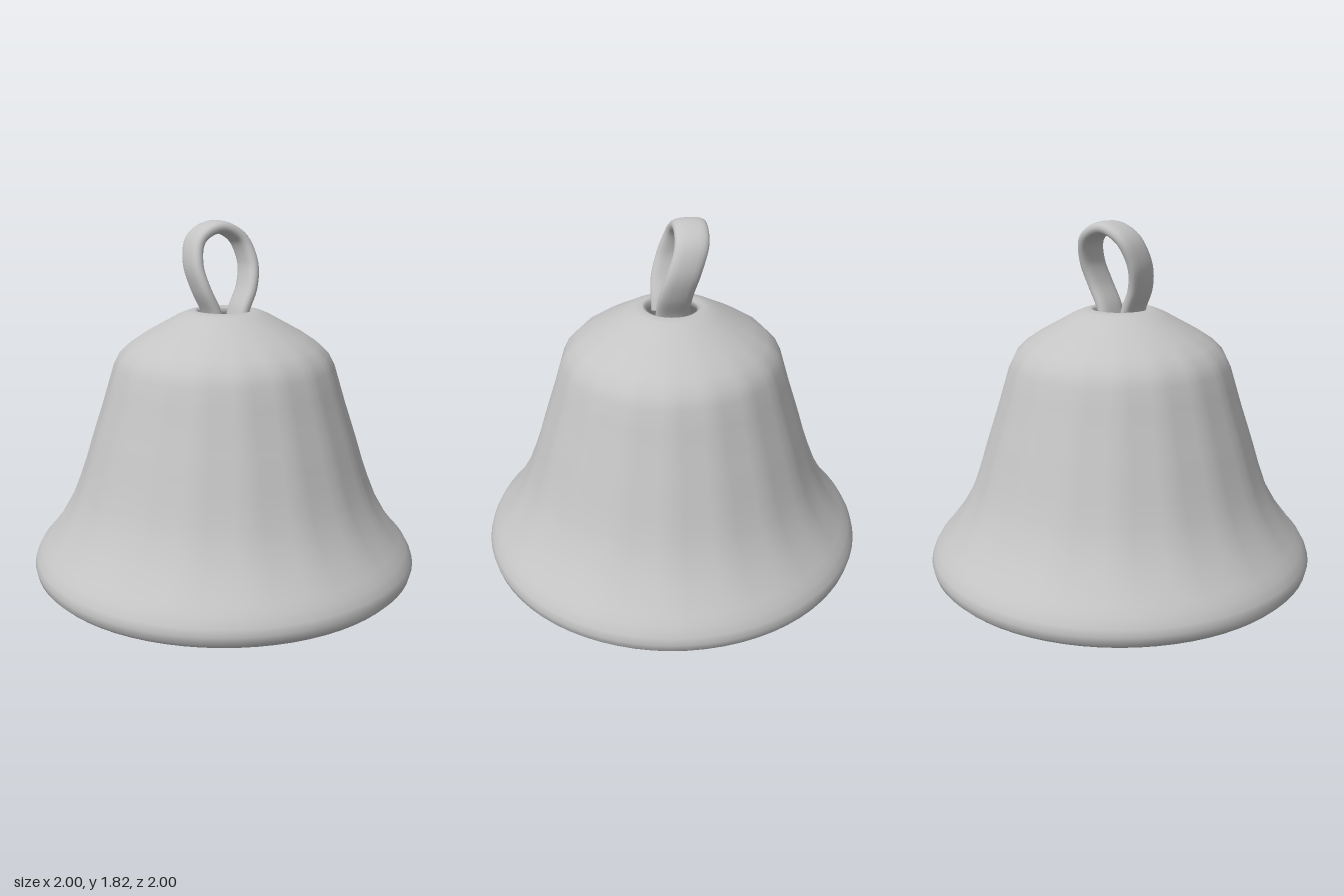
import * as THREE from 'three';
import { mergeVertices } from 'three/addons/utils/BufferGeometryUtils.js';

const metal = new THREE.MeshStandardMaterial({ color: 0xc4c4c4 });
metal.name = 'grey metal';

// Smooth normals across seams
function smooth(geometry) {
  geometry.deleteAttribute('uv');
  geometry.deleteAttribute('normal');
  const merged = mergeVertices(geometry, 1e-4);
  merged.computeVertexNormals();
  return merged;
}

// Hollow bell with a rolled lip, a hole in the crown and softly hammered facets
function bellGeometry() {
  const outer = [
    [0.88, 0.04], [0.895, 0.015], [0.93, 0.005], [0.965, 0.015], [0.99, 0.04], [1, 0.08],
    [0.99, 0.115], [0.965, 0.16], [0.93, 0.2], [0.86, 0.29], [0.795, 0.4], [0.755, 0.5],
    [0.72, 0.6], [0.69, 0.7], [0.658, 0.8], [0.625, 0.9], [0.595, 1], [0.565, 1.1],
    [0.535, 1.16], [0.485, 1.21], [0.41, 1.26], [0.32, 1.31], [0.24, 1.355], [0.19, 1.376], [0.15, 1.385],
  ];
  const inner = [
    [0.13, 1.375], [0.13, 1.34], [0.21, 1.31], [0.36, 1.22], [0.46, 1.15], [0.52, 1.05], [0.555, 0.9],
    [0.62, 0.7], [0.685, 0.5], [0.735, 0.38], [0.81, 0.24], [0.87, 0.14], [0.885, 0.08], [0.88, 0.04],
  ];
  const points = [...outer, ...inner].map(([r, y]) => new THREE.Vector2(r, y));
  const geometry = new THREE.LatheGeometry(points, 72);
  const pos = geometry.attributes.position;
  const step = Math.PI * 2 / 18;
  for (let i = 0; i < pos.count; i++) {
    const x = pos.getX(i), y = pos.getY(i), z = pos.getZ(i);
    // facets fade out toward the round lip and crown
    const amount = THREE.MathUtils.smoothstep(y, 0.12, 0.45) * (1 - THREE.MathUtils.smoothstep(y, 1.1, 1.36));
    const angle = Math.atan2(x, z) + Math.PI * 2;
    const local = (angle % step) - step / 2;
    const polygon = Math.cos(step / 2) / Math.cos(local) + 0.006;
    const scale = 1 + amount * (polygon - 1);
    pos.setXYZ(i, x * scale, y, z * scale);
  }
  return smooth(geometry);
}

// Flat rounded strap bent into a loop that leans backward
function strapGeometry() {
  const half = [[0.065, 1.33], [0.083, 1.39], [0.133, 1.5], [0.156, 1.62], [0.117, 1.74]];
  const path = [
    ...half, [0, 1.794], ...half.slice().reverse().map(([x, y]) => [-x, y]),
  ];
  const curve = new THREE.CatmullRomCurve3(path.map(([x, y]) => new THREE.Vector3(x, y, 0)));
  // backward lean by height
  const lean = new THREE.SplineCurve([
    [0.01, 1.3], [0.01, 1.4], [0, 1.5], [-0.035, 1.62], [-0.075, 1.74], [-0.088, 1.84],
  ].map(([z, y]) => new THREE.Vector2(z, y)));
  const leanAt = (y) => lean.getPoint(THREE.MathUtils.clamp(
    y < 1.5 ? (y - 1.3) / 0.5 : y < 1.74 ? 0.4 + (y - 1.5) / 0.6 : 0.8 + (y - 1.74) / 0.5, 0, 1)).x;

  const steps = 64, sides = 20, vertices = [], index = [];
  const power = (v, p) => Math.sign(v) * Math.abs(v) ** p;
  for (let i = -1; i <= steps + 1; i++) {
    const t = THREE.MathUtils.clamp(i / steps, 0, 1);
    const size = i < 0 || i > steps ? 0 : 1; // collapsed rings close the ends
    const c = curve.getPoint(t), d = curve.getTangent(t);
    for (let j = 0; j < sides; j++) {
      const a = j / sides * Math.PI * 2;
      const n = power(Math.cos(a), 0.8) * 0.033 * size;
      const w = power(Math.sin(a), 0.7) * 0.084 * size;
      vertices.push(c.x + d.y * n, c.y - d.x * n, leanAt(c.y) + w);
    }
  }
  for (let i = 0; i < steps + 2; i++) {
    for (let j = 0; j < sides; j++) {
      const a = i * sides + j, b = i * sides + (j + 1) % sides;
      index.push(a, a + sides, b, b, a + sides, b + sides);
    }
  }
  const geometry = new THREE.BufferGeometry();
  geometry.setAttribute('position', new THREE.Float32BufferAttribute(vertices, 3));
  geometry.setIndex(index);
  // keep the winding outward
  const p = (k) => new THREE.Vector3().fromBufferAttribute(geometry.attributes.position, k);
  const k = 33 * sides, top = p(k);
  const normal = p(k + sides).sub(top).cross(p(k + 1).sub(top));
  const centre = p(k).add(p(k + sides / 2)).multiplyScalar(0.5);
  if (normal.dot(top.sub(centre)) < 0) geometry.setIndex(index.reverse());
  return smooth(geometry);
}

export function createModel() {
  const group = new THREE.Group();
  group.name = 'bell';
  for (const [name, geometry] of [['bellBody', bellGeometry()], ['hangingLoop', strapGeometry()]]) {
    const mesh = new THREE.Mesh(geometry, metal);
    mesh.name = name;
    group.add(mesh);
  }
  return group;
}
